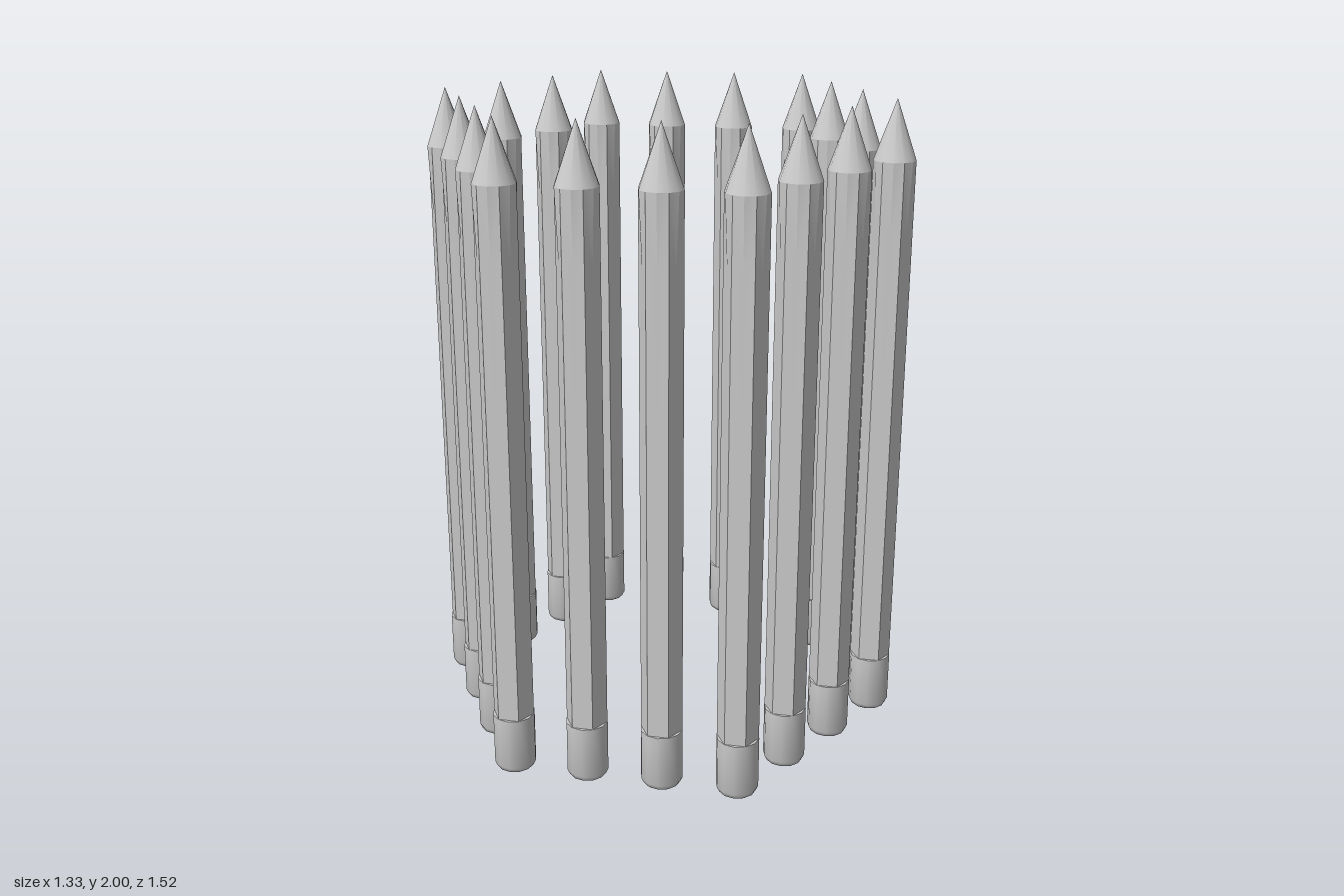
import * as THREE from 'three';
import { toCreasedNormals } from 'three/addons/utils/BufferGeometryUtils.js';

const R = 0.0635;                          // pencil radius
const APOTHEM = R * Math.cos(Math.PI / 6); // flat sides of the hexagonal shaft
const SIDES = 12;
const CUT = 1.61, SHOULDER = 1.82;

// Hexagonal shaft that swells into a twelve-sided ring below the tip
function shaftGeometry() {
  const rings = [[0.17, APOTHEM], [CUT, APOTHEM], [SHOULDER, R]];
  const positions = [], index = [];
  for (const [y, midRadius] of rings) {
    for (let i = 0; i < SIDES; i++) {
      const a = (i / SIDES) * Math.PI * 2;
      const r = i % 2 ? midRadius : R;
      positions.push(r * Math.sin(a), y, r * Math.cos(a));
    }
  }
  for (let k = 0; k < rings.length - 1; k++) {
    for (let i = 0; i < SIDES; i++) {
      const a = k * SIDES + i, b = k * SIDES + (i + 1) % SIDES;
      const c = a + SIDES, d = b + SIDES;
      // diagonals meet at the flat's centre, leaving V-shaped facets
      if (i % 2) index.push(a, b, d, a, d, c);
      else index.push(a, b, c, b, d, c);
    }
  }
  const geo = new THREE.BufferGeometry();
  geo.setAttribute('position', new THREE.Float32BufferAttribute(positions, 3));
  geo.setIndex(index);
  return toCreasedNormals(geo, 0.3);
}

// Eraser cap with a rounded underside and a small flat rim on top
function capGeometry() {
  const profile = [[0, 0], [0.044, 0.002], [0.057, 0.01], [R + 0.001, 0.026],
    [R + 0.001, 0.19], [0.045, 0.19]];
  const geo = new THREE.LatheGeometry(profile.map(([x, y]) => new THREE.Vector2(x, y)), SIDES);
  return toCreasedNormals(geo, 0.8);
}

export function createModel() {
  const model = new THREE.Group();
  model.name = 'pencilRing';
  const smooth = new THREE.MeshStandardMaterial({ color: 0xcccccc });

  const tipGeo = new THREE.ConeGeometry(R, 2 - SHOULDER, SIDES, 1, true);
  tipGeo.translate(0, (2 + SHOULDER) / 2, 0);
  const parts = { shaft: shaftGeometry(), tip: tipGeo, eraserCap: capGeometry() };

  // Pencils evenly spaced along the sides of a hexagon
  const ringRadius = 0.695, perSide = 3;
  const corner = (k) => new THREE.Vector3(
    ringRadius * Math.sin(k * Math.PI / 3), 0, ringRadius * Math.cos(k * Math.PI / 3));
  for (let k = 0; k < 6; k++) {
    for (let j = 0; j < perSide; j++) {
      const pencil = new THREE.Group();
      pencil.name = `pencil${k * perSide + j + 1}`;
      pencil.position.lerpVectors(corner(k), corner(k + 1), j / perSide);
      for (const [name, geo] of Object.entries(parts)) {
        const mesh = new THREE.Mesh(geo, smooth);
        mesh.name = name;
        pencil.add(mesh);
      }
      model.add(pencil);
    }
  }
  return model;
}
